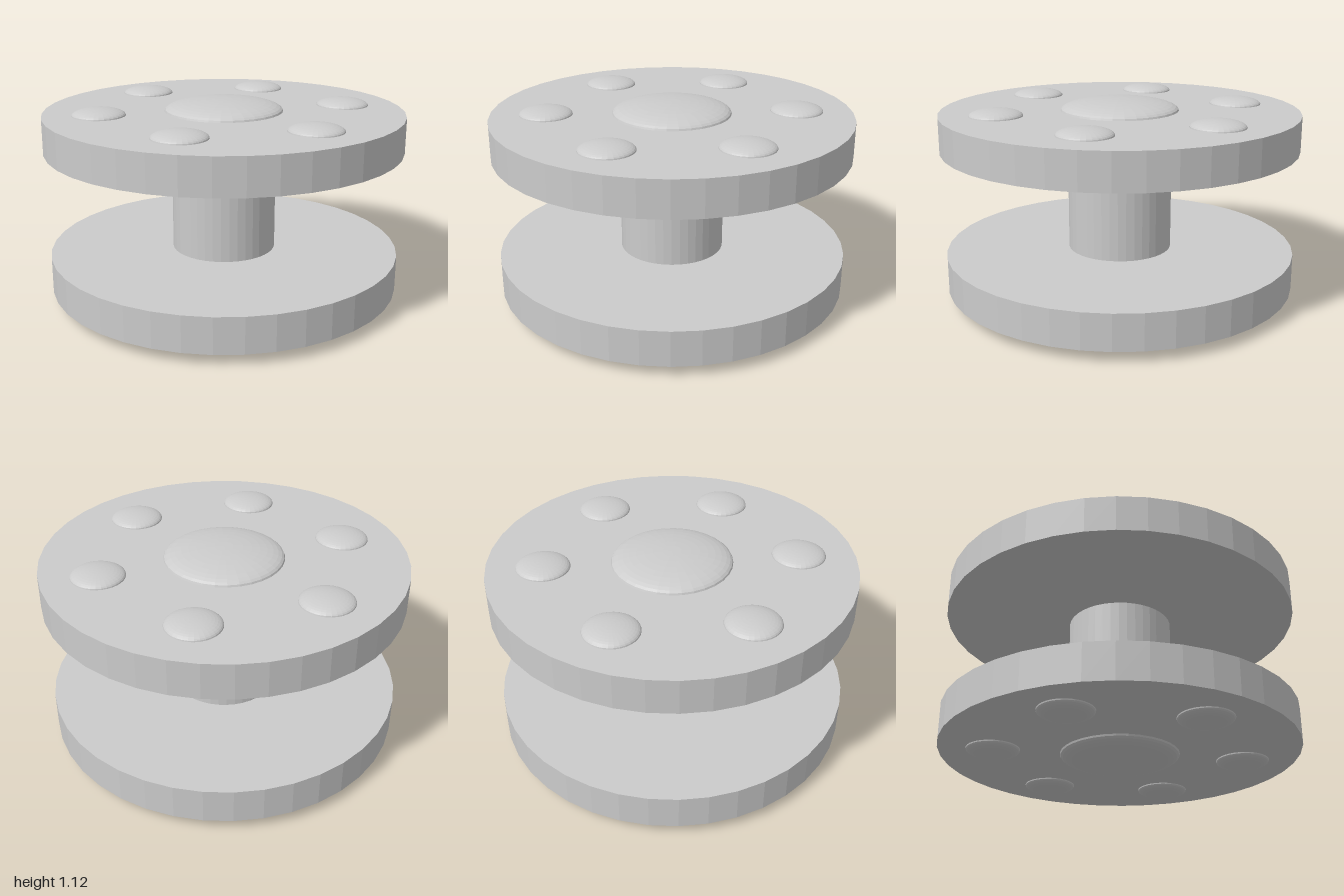
import * as THREE from 'three';

const SIDES = 40;
const material = new THREE.MeshStandardMaterial({ color: 0xcccccc, flatShading: true });

function addDisc(parent, name, radius, y0, y1) {
  const mesh = new THREE.Mesh(new THREE.CylinderGeometry(radius, radius, y1 - y0, SIDES), material);
  mesh.name = name;
  mesh.position.y = (y0 + y1) / 2;
  parent.add(mesh);
}

// Flattened hemisphere sitting on a face; dir is 1 for up, -1 for down
function addDome(parent, name, radius, height, x, y, z, dir) {
  const geometry = new THREE.SphereGeometry(radius, 32, 10, 0, Math.PI * 2, 0, Math.PI / 2);
  geometry.scale(1, height / radius, 1);
  if (dir < 0) geometry.rotateX(Math.PI);
  const mesh = new THREE.Mesh(geometry, material);
  mesh.name = name;
  mesh.position.set(x, y, z);
  parent.add(mesh);
}

// Centre dome with a ring of six small domes around it
function addDomes(parent, prefix, y, dir) {
  addDome(parent, prefix + 'CentreDome', 0.33, 0.063, 0, y, 0, dir);
  for (let i = 0; i < 6; i++) {
    const a = Math.PI / 2 + (i * Math.PI) / 3;
    addDome(parent, prefix + 'SmallDome' + (i + 1), 0.147, 0.04,
      0.692 * Math.cos(a), y, 0.692 * Math.sin(a), dir);
  }
}

export function createModel() {
  const group = new THREE.Group();
  group.name = 'spool';

  // Two flanges joined by a hub
  addDisc(group, 'lowerFlange', 0.99, 0.065, 0.265);
  addDisc(group, 'hub', 0.293, 0.265, 0.86);
  addDisc(group, 'upperFlange', 1, 0.86, 1.058);

  // Domes on the outer faces
  addDomes(group, 'upper', 1.058, 1);
  addDomes(group, 'lower', 0.065, -1);
  return group;
}
